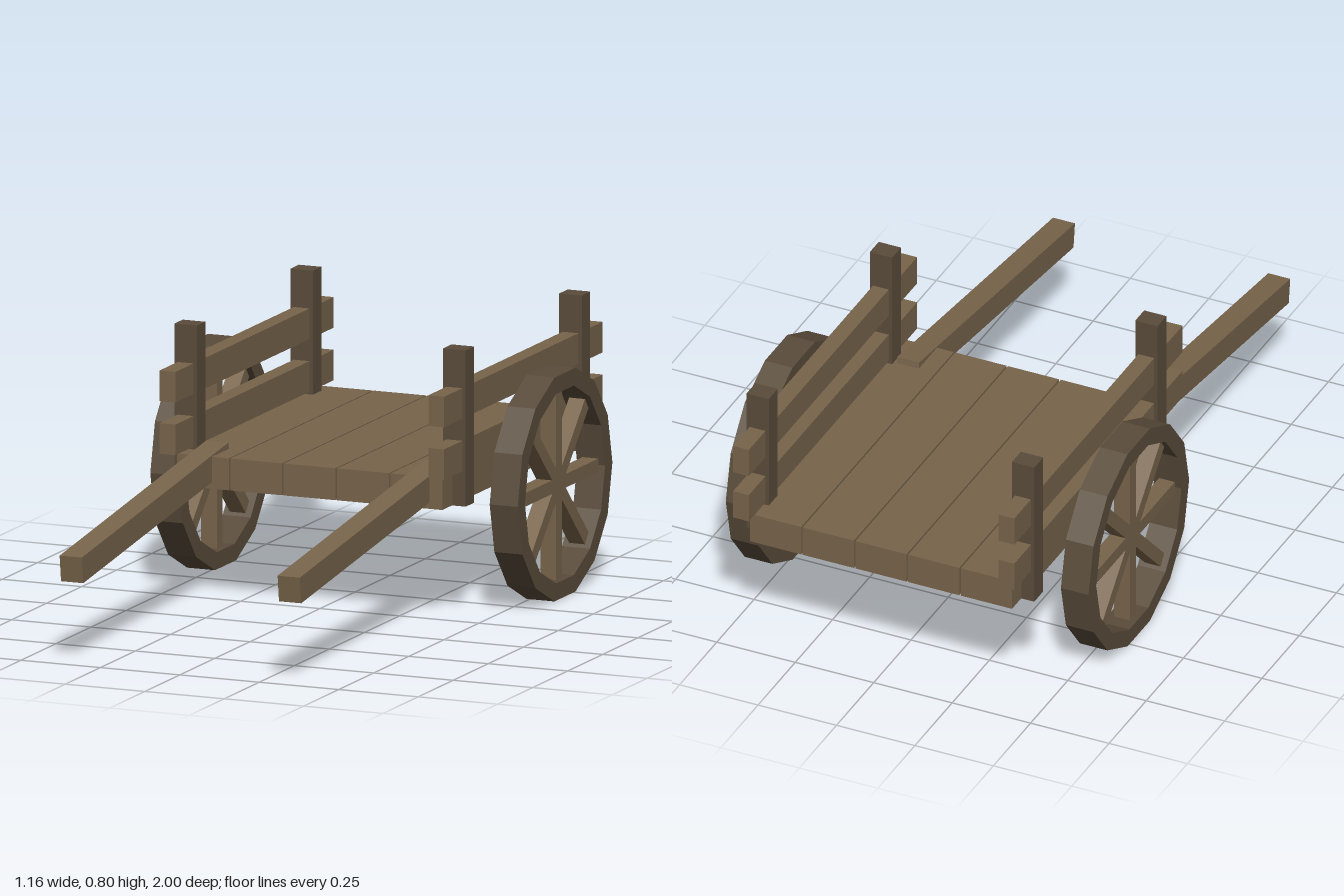
import * as THREE from 'three';

export function createModel() {
  const cart = new THREE.Group();
  cart.name = 'handCart';

  const wood = new THREE.MeshStandardMaterial({ color: 0x78644b });
  wood.name = 'light wood';
  const darkWood = new THREE.MeshStandardMaterial({ color: 0x5a4c3b });
  darkWood.name = 'dark wood';

  function beam(name, size, position, material, parent = cart) {
    const mesh = new THREE.Mesh(new THREE.BoxGeometry(...size), material);
    mesh.name = name;
    mesh.position.set(...position);
    parent.add(mesh);
    return mesh;
  }

  // Deck: five planks with narrow gaps
  for (let i = -2; i <= 2; i++) {
    beam('deckPlank', [0.163, 0.094, 1.025], [i * 0.168, 0.388, -0.4385], wood);
  }

  // Fourteen-sided wheel rim outline
  const ring = (radius) => Array.from({ length: 14 }, (_, i) => {
    const a = (i / 14) * Math.PI * 2;
    return new THREE.Vector2(radius * Math.cos(a), radius * Math.sin(a));
  });
  const rimWidth = 0.088;
  const rimShape = new THREE.Shape(ring(0.338));
  rimShape.holes.push(new THREE.Path(ring(0.286)));
  const rimGeometry = new THREE.ExtrudeGeometry(rimShape, { depth: rimWidth, bevelEnabled: false });
  rimGeometry.translate(0, 0, -rimWidth / 2).rotateY(Math.PI / 2);

  for (const side of [-1, 1]) {
    const label = side > 0 ? 'left' : 'right';

    // Side fence: two rails threaded through two posts
    for (const y of [0.488, 0.643]) {
      beam(label + 'Rail', [0.05, 0.09, 1.13], [side * 0.423, y, -0.435], wood);
    }
    for (const z of [-0.03, -0.858]) {
      beam(label + 'Post', [0.071, 0.46, 0.06], [side * 0.423, 0.57, z], darkWood);
    }

    // Sloping pull shaft
    const shaft = beam(label + 'Shaft', [0.07, 0.078, 1.055], [side * 0.343, 0.348, 0.4725], wood);
    shaft.rotation.x = 0.128;

    // Wheel: rim and four crossing bars that make eight spokes
    const wheel = new THREE.Group();
    wheel.name = label + 'Wheel';
    wheel.position.set(side * 0.534, 0.33, -0.4375);
    const rim = new THREE.Mesh(rimGeometry, darkWood);
    rim.name = 'rim';
    wheel.add(rim);
    for (let i = 0; i < 4; i++) {
      const spoke = beam('spoke', [0.05, 0.565, 0.04], [0, 0, 0], wood, wheel);
      spoke.rotation.x = (i * Math.PI) / 4;
    }
    cart.add(wheel);
  }

  return cart;
}
